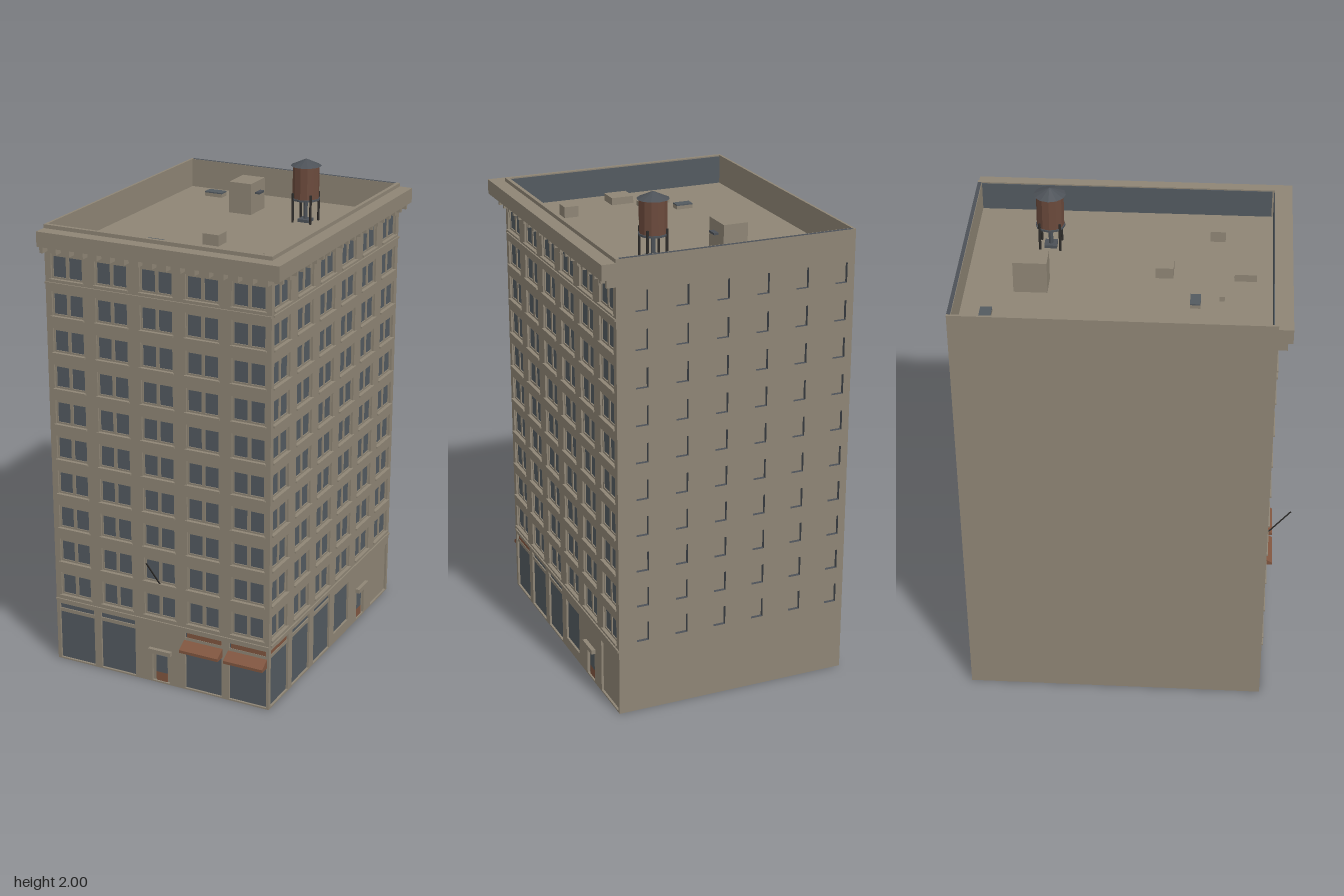
import * as THREE from 'three';

const mat = (name, color) => {
  const m = new THREE.MeshStandardMaterial({ color });
  m.name = name;
  return m;
};

export function createModel() {
  const stone = mat('stone', 0x8e8575);
  const glass = mat('glass', 0x535a60);
  const red = mat('awning red', 0x80553f);
  const wood = mat('tank wood', 0x6b4a3c);
  const metal = mat('dark metal', 0x4c5157);
  const black = mat('pole black', 0x2e2c2a);

  const model = new THREE.Group();
  model.name = 'building';
  const T = 0.015; // wall thickness
  const ROOF = 1.74, TOP = 1.86;
  const rows = Array.from({ length: 10 }, (_, i) => 0.297 + 0.15 * i);

  const add = (parent, name, geo, material) => {
    const m = new THREE.Mesh(geo, material);
    m.name = name;
    parent.add(m);
    return m;
  };
  // box given by its min and max on each axis
  const box = (parent, name, material, x0, x1, y0, y1, z0, z1) => {
    const m = add(parent, name, new THREE.BoxGeometry(x1 - x0, y1 - y0, z1 - z0), material);
    m.position.set((x0 + x1) / 2, (y0 + y1) / 2, (z0 + z1) / 2);
    return m;
  };
  const rect = (Kind, x0, x1, y0, y1) => new Kind([[x0, y0], [x1, y0], [x1, y1], [x0, y1]]
    .map(p => new THREE.Vector2(...p)));
  // slab with rectangular holes, its outer face on z = 0
  const pierced = (outer, holes, depth) => {
    const s = rect(THREE.Shape, ...outer);
    holes.forEach(h => s.holes.push(rect(THREE.Path, ...h)));
    return new THREE.ExtrudeGeometry(s, { depth, bevelEnabled: false }).translate(0, 0, -depth);
  };

  // paired sash window, shared by every opening
  const W = 0.07, H = 0.1;
  const frameGeo = pierced([-W, W, 0, H],
    [[-0.064, -0.007, 0.007, 0.09], [0.007, 0.064, 0.007, 0.09]], 0.004);
  const paneGeo = new THREE.BoxGeometry(2 * W, H, 0.003).translate(0, H / 2, -0.0055);
  const sillGeo = new THREE.BoxGeometry(2 * W + 0.01, 0.007, 0.007).translate(0, -0.0035, 0.0035);

  function facade(name, u0, u1, cols, bays, door) {
    const g = new THREE.Group();
    g.name = name;
    model.add(g);
    const holes = [];
    cols.forEach(c => rows.forEach(y => holes.push([c - W, c + W, y, y + H])));
    bays.forEach(b => holes.push([b.u0, b.u1, b.y0 ?? 0.006, b.y1 ?? 0.255]));
    holes.push([door - 0.04, door + 0.04, 0.006, 0.135]);
    add(g, 'wall', pierced([u0, u1, 0, TOP], holes, T), stone);

    cols.forEach(c => rows.forEach(y => {
      const w = new THREE.Group();
      w.name = 'window';
      add(w, 'windowFrame', frameGeo, stone).position.z = -0.008;
      add(w, 'windowPane', paneGeo, glass).position.z = -0.008;
      add(w, 'windowSill', sillGeo, stone);
      w.position.set(c, y, 0);
      g.add(w);
    }));

    // shopfronts
    bays.forEach(b => {
      const y0 = b.y0 ?? 0.006, y1 = b.y1 ?? 0.255;
      box(g, 'shopfrontPanel', b.blank ? stone : glass, b.u0, b.u1, y0, y1, -0.014, -0.009);
      if (b.blank || b.y0) return;
      box(g, 'transomBar', stone, b.u0, b.u1, 0.217, 0.232, -0.009, -0.004);
      if (b.red) box(g, 'fasciaStrip', red, b.u0 + 0.005, b.u1 - 0.005, 0.232, 0.252, -0.009, -0.006);
      if (b.awning) {
        // sloped wedge with a short front drop
        const s = new THREE.Shape([[0, 0.185], [0.045, 0.185], [0.045, 0.197], [0, 0.222]]
          .map(p => new THREE.Vector2(...p)));
        const geo = new THREE.ExtrudeGeometry(s, { depth: b.u1 - b.u0 + 0.008, bevelEnabled: false });
        const a = add(g, 'awning', geo, red);
        a.rotation.y = -Math.PI / 2;
        a.position.x = b.u1 + 0.004;
      }
    });

    // entrance
    box(g, 'doorSurround', stone, door - 0.04, door + 0.04, 0.006, 0.135, -0.014, -0.01);
    box(g, 'doorGlass', glass, door - 0.025, door + 0.025, 0.045, 0.12, -0.01, -0.007);
    box(g, 'doorPanel', red, door - 0.025, door + 0.025, 0.006, 0.045, -0.01, -0.007);
    box(g, 'doorCanopy', stone, door - 0.05, door + 0.05, 0.136, 0.154, 0, 0.017);

    // string courses
    [0.27, 1.625].forEach(y => box(g, 'stringCourse', stone, u0, u1, y, y + 0.008, 0, 0.006));

    // cornice brackets
    const n = Math.round((u1 - u0) / 0.06);
    for (let i = 0; i <= n; i++) {
      const u = u0 + 0.007 + (u1 - u0 - 0.014) * i / n;
      box(g, 'corniceBracket', stone, u - 0.007, u + 0.007, 1.755, 1.785, 0, 0.036);
    }
    // dark lining behind the parapet
    box(g, 'parapetLining', glass, u0 + 0.01, u1 - T, ROOF, TOP - 0.005, -T - 0.003, -T);
    return g;
  }

  const front = facade('frontFacade', -0.515, 0.455,
    [0, 1, 2, 3, 4].map(i => -0.419 + 0.195 * i),
    [{ u0: -0.5, u1: -0.337 }, { u0: -0.305, u1: -0.145 },
      { u0: 0.083, u1: 0.247, awning: true, red: true },
      { u0: 0.28, u1: 0.443, awning: true, red: true }], -0.028);
  front.position.z = 0.55;

  // side facade, where u runs towards the back
  const side = facade('sideFacade', -0.535, 0.66,
    [0, 1, 2, 3, 4, 5].map(i => -0.456 + 0.2036 * i),
    [{ u0: -0.533, u1: -0.373, red: true }, { u0: -0.336, u1: -0.172 }, { u0: -0.13, u1: 0.03 },
      { u0: 0.077, u1: 0.225, y0: 0.045, y1: 0.225 },
      { u0: 0.47, u1: 0.645, y1: 0.23, blank: true }], 0.355);
  side.rotation.y = Math.PI / 2;
  side.position.x = 0.455;

  // plain party wall
  box(model, 'plainWall', stone, -0.515, -0.505, 0, TOP, -0.66, 0.535);

  // rear wall with small recessed openings
  const backHoles = [];
  for (let i = 0; i < 6; i++) {
    const c = -0.39 + 0.163 * i + 0.035;
    rows.forEach(y => backHoles.push([c - 0.025, c + 0.025, y + 0.005, y + 0.085]));
  }
  const back = add(model, 'rearWall', pierced([-0.44, 0.505, 0, TOP], backHoles, T), [stone, metal]);
  back.rotation.y = Math.PI;
  back.position.z = -0.66;
  box(model, 'rearWindowBacking', stone, -0.505, 0.44, 0, TOP, -0.645, -0.643);

  // cornice
  box(model, 'frontCornice', stone, -0.515, 0.51, 1.785, 1.845, 0.55, 0.605);
  box(model, 'sideCornice', stone, 0.455, 0.51, 1.785, 1.845, -0.66, 0.55);

  // roof deck and the things on it
  box(model, 'roofDeck', stone, -0.505, 0.44, ROOF - 0.01, ROOF, -0.645, 0.535);
  box(model, 'stairBulkhead', stone, -0.165, -0.065, ROOF, 1.87, -0.455, -0.325);
  box(model, 'bulkheadDoorHood', metal, -0.065, -0.046, ROOF + 0.08, ROOF + 0.088, -0.41, -0.365);
  [[-0.04, 0.03, 0.08, 0.15, 0.045], [0.235, 0.295, 0.285, 0.345, 0.045],
    [-0.045, 0.05, 0.385, 0.47, 0.03], [-0.185, -0.045, 0.33, 0.35, 0.02]].forEach(([x0, x1, z0, z1, h]) =>
    box(model, 'roofUnit', stone, x0, x1, ROOF, ROOF + h, z0, z1));
  [[-0.38, -0.3, -0.565, -0.52], [-0.24, -0.17, 0.22, 0.26]].forEach(([x0, x1, z0, z1]) => {
    box(model, 'skylightCurb', stone, x0, x1, ROOF, ROOF + 0.015, z0, z1);
    box(model, 'skylightGlass', glass, x0, x1, ROOF + 0.015, ROOF + 0.02, z0, z1);
  });

  // water tower
  const tower = new THREE.Group();
  tower.name = 'waterTower';
  tower.position.set(0.175, ROOF, -0.342);
  model.add(tower);
  const cyl = (name, rt, rb, y0, y1, m, sides) => {
    const geo = new THREE.CylinderGeometry(rt, rb, y1 - y0, sides).toNonIndexed();
    geo.computeVertexNormals();
    const part = add(tower, name, geo, m);
    part.position.y = (y0 + y1) / 2;
    return part;
  };
  cyl('tank', 0.054, 0.054, 0.1, 0.232, wood, 12);
  cyl('tankRoof', 0.001, 0.063, 0.232, 0.26, metal, 12);
  cyl('tankPlatform', 0.058, 0.058, 0.092, 0.1, metal, 12);
  cyl('supplyPipe', 0.009, 0.009, 0, 0.092, metal, 8);
  box(tower, 'towerBase', metal, -0.025, 0.025, 0, 0.012, -0.025, 0.025);
  for (let i = 0; i < 4; i++) {
    const a = Math.PI / 4 + i * Math.PI / 2;
    const leg = cyl('towerLeg', 0.005, 0.005, 0, 0.12, black, 6);
    leg.position.x = 0.056 * Math.cos(a);
    leg.position.z = 0.056 * Math.sin(a);
  }

  // flagpole leaning out from the front
  const pole = new THREE.LineCurve3(new THREE.Vector3(-0.028, 0.445, 0.55), new THREE.Vector3(-0.028, 0.583, 0.659));
  add(model, 'flagpole', new THREE.TubeGeometry(pole, 1, 0.003, 6), black);

  return model;
}
